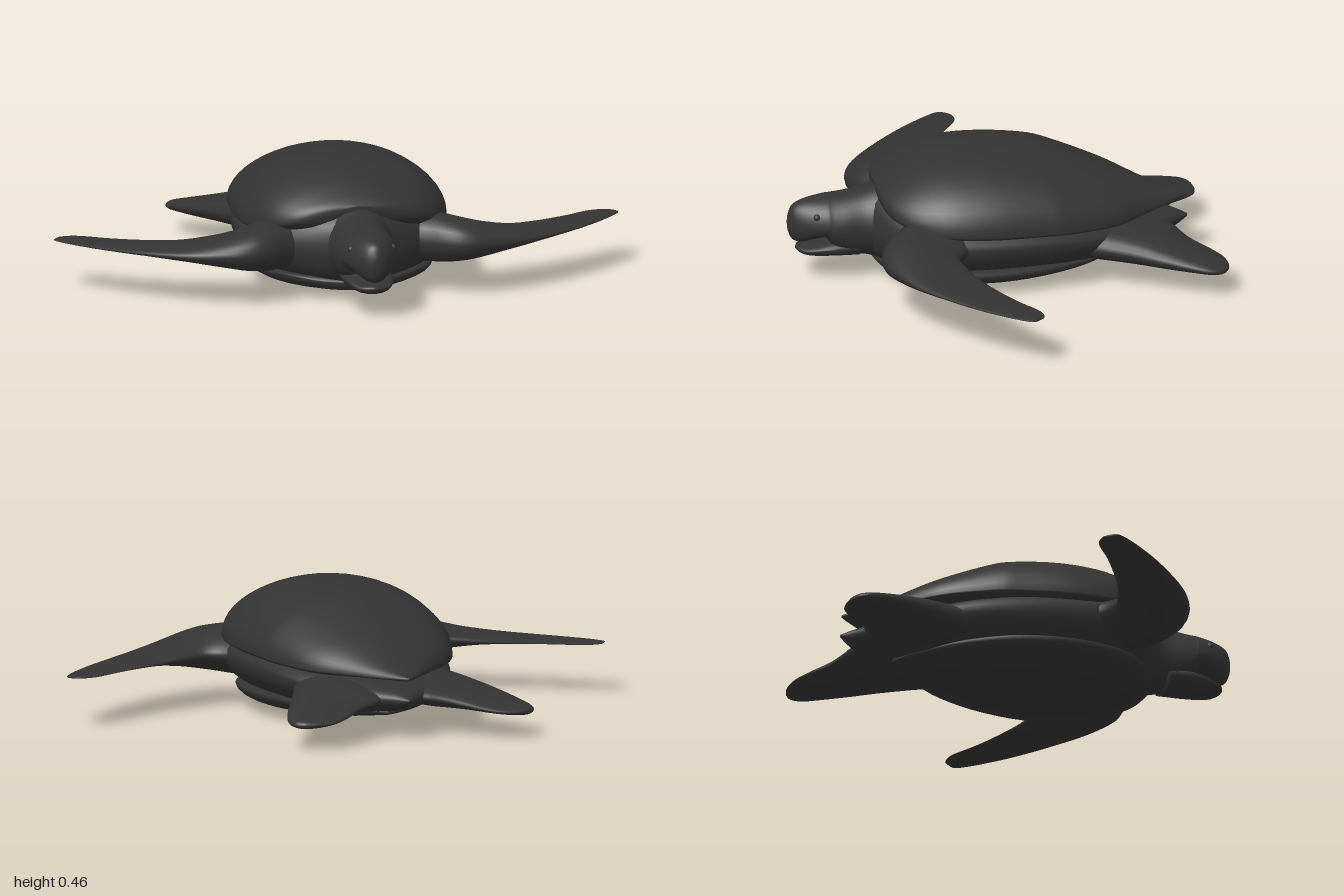
import * as THREE from 'three';

// Catmull-Rom blend of whole parameter rows, s runs 0..rows.length-1
function rowAt(rows, s) {
  const i = Math.min(Math.floor(s), rows.length - 2), f = s - i;
  const r = k => rows[Math.max(0, Math.min(rows.length - 1, k))];
  return rows[i].map((_, k) => {
    const a = r(i - 1)[k], b = r(i)[k], c = r(i + 1)[k], d = r(i + 2)[k];
    return b + 0.5 * f * (c - a + f * (2 * a - 5 * b + 4 * c - d + f * (3 * (b - c) + d - a)));
  });
}

// Closed skin over cross-sections; place(row, cos, sin) gives a surface point
function loft(rows, place, seg = 36, sub = 4) {
  const pos = [], idx = [], n = (rows.length - 1) * sub;
  for (let i = 0; i <= n; i++) {
    const row = rowAt(rows, i / sub);
    for (let j = 0; j < seg; j++) {
      const t = (j / seg) * Math.PI * 2;
      pos.push(...place(row, Math.cos(t), Math.sin(t)));
    }
  }
  for (const row of [rows[0], rows[rows.length - 1]]) pos.push(...place(row, 0, 0));
  const c0 = (n + 1) * seg, c1 = c0 + 1;
  for (let j = 0; j < seg; j++) {
    const k = (j + 1) % seg;
    for (let i = 0; i < n; i++) {
      const a = i * seg + j, b = i * seg + k;
      idx.push(a, b, a + seg, b, b + seg, a + seg);
    }
    idx.push(c0, k, j, c1, n * seg + j, n * seg + k);
  }
  // Turn the faces outward if the sections ran the other way
  const v = i => new THREE.Vector3().fromArray(pos, idx[i] * 3);
  let volume = 0;
  for (let i = 0; i < idx.length; i += 3) volume += v(i).dot(v(i + 1).cross(v(i + 2)));
  if (volume < 0) idx.reverse();
  const g = new THREE.BufferGeometry();
  g.setAttribute('position', new THREE.Float32BufferAttribute(pos, 3));
  g.setIndex(idx);
  g.computeVertexNormals();
  return g;
}

// Body sections: [z, half width, rim y, top y, bottom y]
const across = ([z, w, rim, top, bot], c, s) =>
  [w * c, rim + s * (s > 0 ? top - rim : rim - bot), z];

// Flipper sections: [lead x, lead z, trail x, trail z, y, half thickness]
const blade = side => ([lx, lz, tx, tz, y, h], c, s) => [
  side * ((lx + tx) / 2 + c * (lx - tx) / 2),
  y + h * s * (1 + 0.3 * c),
  (lz + tz) / 2 + c * (lz - tz) / 2,
];

export function createModel() {
  const model = new THREE.Group();
  model.name = 'seaTurtle';
  const skin = new THREE.MeshStandardMaterial({ color: 0x333333 });
  skin.name = 'charcoal';
  const add = (name, geometry) => {
    const mesh = new THREE.Mesh(geometry, skin);
    mesh.name = name;
    model.add(mesh);
    return mesh;
  };

  // Domed upper shell, pointed at the tail
  add('carapace', loft([
    [-0.655, 0.004, 0.214, 0.219, 0.209],
    [-0.63, 0.03, 0.213, 0.228, 0.205],
    [-0.58, 0.075, 0.213, 0.245, 0.203],
    [-0.5, 0.15, 0.215, 0.277, 0.2],
    [-0.37, 0.265, 0.22, 0.34, 0.19],
    [-0.2, 0.335, 0.23, 0.413, 0.19],
    [-0.1, 0.353, 0.235, 0.443, 0.19],
    [0.07, 0.368, 0.24, 0.458, 0.19],
    [0.22, 0.355, 0.245, 0.448, 0.2],
    [0.33, 0.305, 0.26, 0.412, 0.22],
    [0.4, 0.235, 0.28, 0.372, 0.245],
    [0.43, 0.16, 0.3, 0.35, 0.275],
    [0.442, 0.05, 0.322, 0.338, 0.31],
  ], across, 48));

  // Soft body between the shells, running out into the tail
  add('body', loft([
    [-0.66, 0.006, 0.138, 0.143, 0.133],
    [-0.62, 0.045, 0.138, 0.16, 0.11],
    [-0.55, 0.12, 0.14, 0.18, 0.09],
    [-0.45, 0.2, 0.15, 0.205, 0.07],
    [-0.3, 0.29, 0.17, 0.24, 0.045],
    [-0.1, 0.345, 0.185, 0.28, 0.03],
    [0.1, 0.36, 0.19, 0.3, 0.025],
    [0.25, 0.345, 0.19, 0.32, 0.03],
    [0.35, 0.28, 0.19, 0.325, 0.04],
    [0.42, 0.19, 0.19, 0.32, 0.06],
    [0.47, 0.1, 0.19, 0.3, 0.085],
  ], across));

  // Shallow belly shell
  add('plastron', loft([
    [-0.47, 0.01, 0.07, 0.075, 0.062],
    [-0.4, 0.1, 0.072, 0.085, 0.05],
    [-0.27, 0.22, 0.075, 0.1, 0.028],
    [-0.1, 0.3, 0.08, 0.11, 0.009],
    [0.08, 0.325, 0.08, 0.11, 0],
    [0.25, 0.295, 0.08, 0.11, 0.01],
    [0.36, 0.22, 0.08, 0.1, 0.024],
    [0.42, 0.12, 0.07, 0.085, 0.036],
    [0.445, 0.02, 0.065, 0.07, 0.055],
  ], across));

  // Neck and skull, ending in a blunt beak over the open mouth
  add('head', loft([
    [0.34, 0.17, 0.19, 0.34, 0.05],
    [0.42, 0.135, 0.19, 0.332, 0.06],
    [0.48, 0.112, 0.19, 0.314, 0.075],
    [0.55, 0.108, 0.19, 0.302, 0.082],
    [0.595, 0.104, 0.19, 0.297, 0.115],
    [0.615, 0.1, 0.2, 0.295, 0.147],
    [0.66, 0.084, 0.2, 0.288, 0.14],
    [0.7, 0.062, 0.2, 0.278, 0.13],
    [0.728, 0.04, 0.2, 0.262, 0.14],
    [0.742, 0.018, 0.2, 0.23, 0.17],
    [0.745, 0.003, 0.2, 0.205, 0.195],
  ], across));

  add('lowerJaw', loft([
    [0.5, 0.085, 0.12, 0.16, 0.076],
    [0.58, 0.088, 0.118, 0.15, 0.079],
    [0.64, 0.078, 0.115, 0.133, 0.08],
    [0.68, 0.06, 0.108, 0.122, 0.084],
    [0.705, 0.036, 0.107, 0.118, 0.093],
    [0.716, 0.006, 0.108, 0.112, 0.104],
  ], across));

  for (const side of [1, -1]) {
    const label = side > 0 ? 'left' : 'right';

    // Long swept front flipper
    add(label + 'FrontFlipper', loft([
      [0.14, 0.36, 0.2, 0.06, 0.19, 0.085],
      [0.24, 0.41, 0.31, 0.11, 0.19, 0.085],
      [0.31, 0.455, 0.365, 0.175, 0.188, 0.077],
      [0.38, 0.475, 0.42, 0.207, 0.186, 0.066],
      [0.47, 0.463, 0.49, 0.195, 0.182, 0.048],
      [0.6, 0.408, 0.59, 0.165, 0.177, 0.026],
      [0.73, 0.32, 0.69, 0.122, 0.175, 0.014],
      [0.85, 0.22, 0.8, 0.067, 0.174, 0.009],
      [0.94, 0.128, 0.885, 0.015, 0.174, 0.007],
      [0.987, 0.07, 0.93, 0, 0.174, 0.005],
      [0.999, 0.045, 0.965, 0.003, 0.174, 0.003],
    ], blade(side), 28));

    // Broad paddle-like hind flipper
    add(label + 'HindFlipper', loft([
      [0.26, -0.24, 0.02, -0.48, 0.14, 0.06],
      [0.305, -0.33, 0.07, -0.585, 0.135, 0.055],
      [0.345, -0.42, 0.13, -0.615, 0.127, 0.048],
      [0.39, -0.51, 0.185, -0.645, 0.116, 0.038],
      [0.43, -0.6, 0.24, -0.695, 0.104, 0.027],
      [0.45, -0.665, 0.295, -0.733, 0.095, 0.019],
      [0.443, -0.71, 0.345, -0.745, 0.091, 0.013],
      [0.415, -0.735, 0.385, -0.744, 0.09, 0.005],
    ], blade(side), 28));

    // Small raised eye
    const eye = add(label + 'Eye', new THREE.SphereGeometry(0.012, 12, 8));
    eye.position.set(side * 0.074, 0.24, 0.652);
  }
  return model;
}
